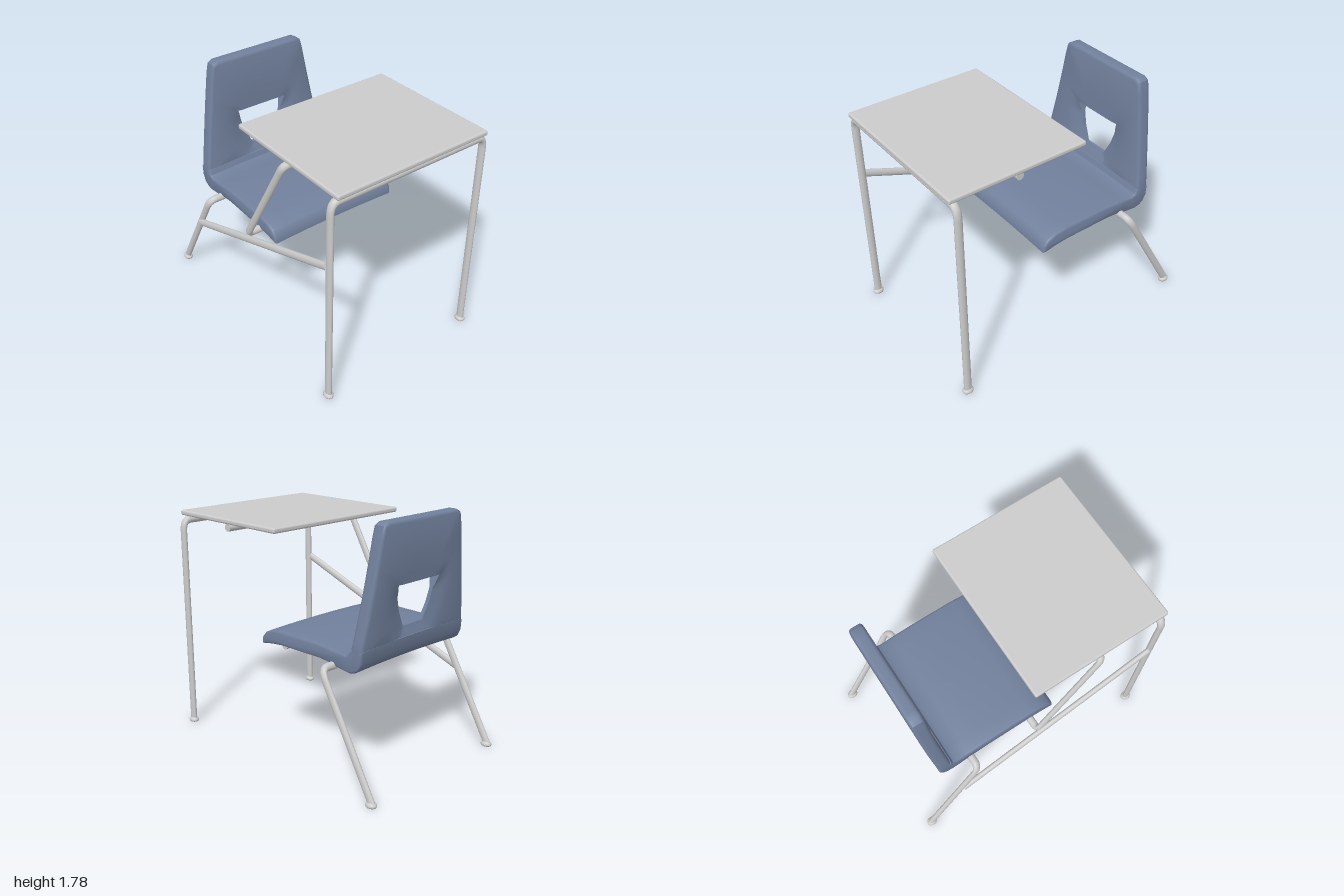
import * as THREE from 'three';
import { mergeGeometries, mergeVertices, toCreasedNormals } from 'three/addons/utils/BufferGeometryUtils.js';
import { RoundedBoxGeometry } from 'three/addons/geometries/RoundedBoxGeometry.js';

const V = (x, y, z) => new THREE.Vector3(x, y, z);
const FLAT = 0.7; // tubes are slightly narrower across z

// Capped tube along straight runs with rounded corners
function bentTube(points, radius, bend = 0.08) {
  const p = points.map(([x, y, z]) => V(x, y, z / FLAT));
  const path = new THREE.CurvePath();
  let from = p[0];
  for (let i = 1; i < p.length - 1; i++) {
    const a = p[i].clone().add(p[i - 1].clone().sub(p[i]).setLength(bend));
    const b = p[i].clone().add(p[i + 1].clone().sub(p[i]).setLength(bend));
    path.add(new THREE.LineCurve3(from, a));
    path.add(new THREE.QuadraticBezierCurve3(a, p[i], b));
    from = b;
  }
  path.add(new THREE.LineCurve3(from, p[p.length - 1]));
  const parts = [new THREE.TubeGeometry(path, points.length > 2 ? 160 : 1, radius, 16)];
  for (const [t, sign] of [[0, -1], [1, 1]]) {
    const cap = new THREE.CircleGeometry(radius, 16);
    const dir = path.getTangentAt(t).multiplyScalar(sign);
    cap.applyQuaternion(new THREE.Quaternion().setFromUnitVectors(V(0, 0, 1), dir));
    const at = path.getPointAt(t);
    parts.push(cap.translate(at.x, at.y, at.z));
  }
  return mergeGeometries(parts).scale(1, 1, FLAT);
}

// Distance from a centre to a convex polygon along a direction
function rayToOutline(poly, c, dx, dy) {
  let best = Infinity;
  poly.forEach(([ax, ay], i) => {
    const [bx, by] = poly[(i + 1) % poly.length];
    const ex = bx - ax, ey = by - ay, det = dx * ey - dy * ex;
    if (Math.abs(det) < 1e-9) return;
    const qx = ax - c[0], qy = ay - c[1];
    const r = (qx * ey - qy * ex) / det, s = (qx * dy - qy * dx) / det;
    if (r > 0 && s > -1e-6 && s < 1 + 1e-6) best = Math.min(best, r);
  });
  return best;
}

const mirrored = half => [...half, ...half.map(([z, y]) => [-z, y]).reverse()];

// Leaning backrest with a hole whose rim thins out below and at the sides
function backrestGeometry() {
  const hole = mirrored([[0.21, 1.35], [0.155, 1.16], [0.1, 1.044]]);
  const outer = mirrored([[0.35, 1.78], [0.385, 1.76], [0.402, 1.69], [0.53, 0.95], [0.53, 0.89]]);
  const c = [0, 1.2];
  const angles = [...hole, ...outer].map(([z, y]) => Math.atan2(y - c[1], z - c[0]));
  for (let i = 0; i < 48; i++) angles.push(-Math.PI + (i + 0.37) * Math.PI / 24);
  angles.sort((a, b) => a - b);
  const pos = [], index = [], M = 16;
  for (const a of angles) {
    const dx = Math.cos(a), dy = Math.sin(a);
    const r0 = rayToOutline(hole, c, dx, dy), L = rayToOutline(outer, c, dx, dy) - r0;
    const flare = THREE.MathUtils.clamp((0.7 - dy) / 0.4, 0.15, 1);
    const front = [
      [0, 0.05 - 0.036 * flare],
      [Math.min(0.04, L * 0.2), 0.05 - 0.025 * flare],
      [Math.min(0.085, L * 0.4), 0.05 - 0.01 * flare],
      [Math.min(0.14, L * 0.6), 0.05],
      [Math.max(L - 0.025, L * 0.8), 0.05],
      [L - 0.01, 0.045], [L - 0.002, 0.036], [L, 0.022],
    ];
    for (const [d, h] of [...front, ...front.map(([d, h]) => [d, -h]).reverse()]) {
      const y = c[1] + dy * (r0 + d), s = (y - 0.9) / 0.88;
      pos.push(-0.707 - 0.1 * s + 0.035 * s * s + h, y, c[0] + dx * (r0 + d));
    }
  }
  const N = angles.length;
  for (let i = 0; i < N; i++) for (let j = 0; j < M; j++) {
    const i2 = (i + 1) % N, j2 = (j + 1) % M;
    const a = i * M + j, b = i2 * M + j, d = i2 * M + j2, e = i * M + j2;
    index.push(a, b, e, b, d, e);
  }
  const g = new THREE.BufferGeometry();
  g.setAttribute('position', new THREE.Float32BufferAttribute(pos, 3));
  g.setIndex(index);
  return toCreasedNormals(g, 0.7);
}

// Seat side profile, extruded across z and slightly crowned
function seatGeometry() {
  const profile = [[-0.766, 0.97], [-0.76, 0.89], [-0.735, 0.838], [-0.7, 0.815], [-0.655, 0.803], [-0.56, 0.815],
    [-0.47, 0.832], [-0.38, 0.84], [0, 0.835], [0.1, 0.825], [0.205, 0.806], [0.2, 0.86], [0.165, 0.9], [0.1, 0.928],
    [0, 0.941], [-0.38, 0.941], [-0.52, 0.932], [-0.615, 0.92], [-0.645, 0.932], [-0.66, 0.97]];
  const shape = new THREE.Shape(profile.map(([x, y]) => new THREE.Vector2(x, y)));
  let g = new THREE.ExtrudeGeometry(shape, { depth: 1.02, steps: 10, bevelThickness: 0.02, bevelSize: 0.014,
    bevelOffset: -0.014, bevelSegments: 3 });
  g.translate(0, 0, -0.51);
  const p = g.attributes.position;
  for (let i = 0; i < p.count; i++) p.setY(i, p.getY(i) + 0.006 - 0.013 * (p.getZ(i) / 0.53) ** 2);
  g.deleteAttribute('uv');
  g.deleteAttribute('normal');
  g = mergeVertices(g, 1e-5);
  return toCreasedNormals(g, 0.7);
}

export function createModel() {
  const model = new THREE.Group();
  model.name = 'chairDesk';
  const metal = new THREE.MeshStandardMaterial({ color: 0xcccccc });
  const blue = new THREE.MeshStandardMaterial({ color: 0x71809c });
  const add = (name, geometry, material = metal) => {
    const mesh = new THREE.Mesh(geometry, material);
    mesh.name = name;
    model.add(mesh);
    return mesh;
  };

  // Seat shell
  add('seat', seatGeometry(), blue);
  add('backrest', backrestGeometry(), blue);

  // Writing surface
  add('deskTop', new RoundedBoxGeometry(1.05, 0.038, 1.235, 3, 0.014)).position.set(0.47, 1.655, -0.002);

  // Tubular frame
  const w = 0.632;
  add('deskLegs', bentTube([[0.946, 0.01, w], [0.946, 1.606, w], [0.946, 1.606, -w], [0.946, 0.01, -w]], 0.029));
  add('seatLegs', bentTube([[-0.965, 0.015, w], [-0.505, 0.816, w], [-0.505, 0.816, -w], [-0.965, 0.015, -w]], 0.028));
  add('deskSupport', bentTube([[0.462, 1.608, -0.6], [0.462, 1.608, 0.625], [0.005, 0.82, 0.625], [0.005, 0.82, -0.49]], 0.028, 0.05));
  add('sideBrace', bentTube([[-0.645, 0.545, 0.643], [0.928, 1.135, 0.643]], 0.029));

  // Feet
  const footProfile = [[0, 0], [0.038, 0], [0.042, 0.008], [0.041, 0.016], [0.034, 0.026], [0.024, 0.033], [0, 0.034]]
    .map(([r, y]) => new THREE.Vector2(r, y));
  const foot = new THREE.LatheGeometry(footProfile, 20).scale(1, 1, 0.8);
  for (const x of [-0.958, 0.946]) for (const z of [-w, w]) add('foot', foot).position.set(x, 0, z);

  return model;
}
